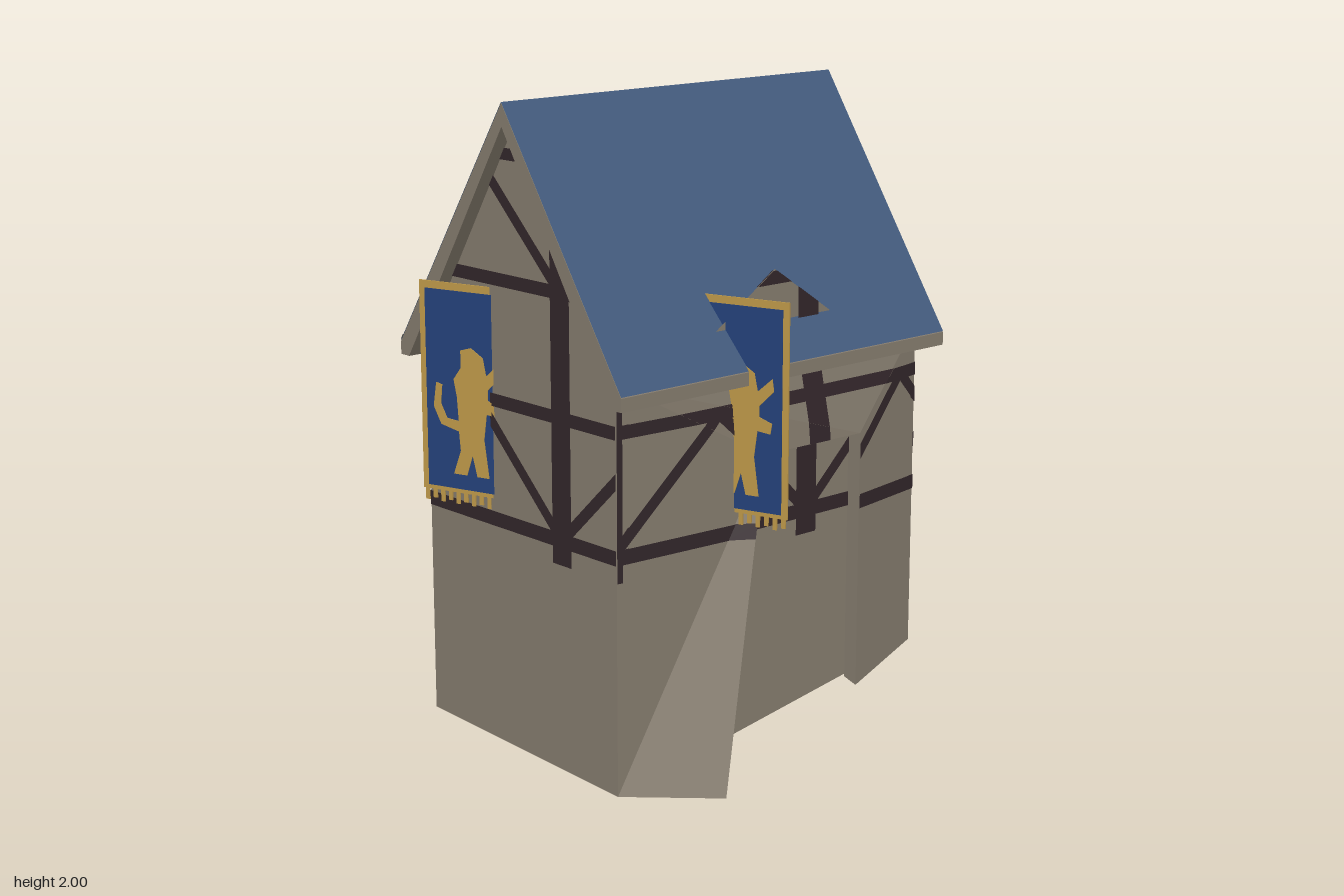
import * as THREE from 'three';

const material = (name, color) =>
  new THREE.MeshStandardMaterial({ name, color, side: THREE.DoubleSide });

export function createModel() {
  const model = new THREE.Group();
  model.name = 'timberHouse';
  const plaster = material('plaster', 0x857c6e);
  const timber = material('dark timber', 0x32262a);
  const slate = material('blue slate', 0x435b7d);
  const cloth = material('banner blue', 0x24417a);
  const gold = material('gold', 0xbd9848);

  // House frame: u across, v along the ridge, turned about y
  const TURN = -0.31, c = Math.cos(TURN), s = Math.sin(TURN);
  const at = (u, y, v) => new THREE.Vector3(u * c + v * s, y, -u * s + v * c);
  const U = 0.435, V = 0.615;

  function add(name, geometry, mat, parent = model) {
    const mesh = new THREE.Mesh(geometry, mat);
    mesh.name = name;
    parent.add(mesh);
    return mesh;
  }
  // Flat convex polygons as one mesh
  function polygons(name, list, mat) {
    const pos = [];
    for (const p of list)
      for (let i = 1; i < p.length - 1; i++)
        for (const q of [p[0], p[i], p[i + 1]]) pos.push(q.x, q.y, q.z);
    if (!pos.length) return;
    const g = new THREE.BufferGeometry();
    g.setAttribute('position', new THREE.Float32BufferAttribute(pos, 3));
    g.computeVertexNormals();
    add(name, g, mat);
  }

  // Clip one 2D convex polygon by another
  function clip(subject, window) {
    let area = 0;
    window.forEach((p, i) => {
      const q = window[(i + 1) % window.length];
      area += p[0] * q[1] - q[0] * p[1];
    });
    let out = subject;
    window.forEach((a, i) => {
      const b = window[(i + 1) % window.length], src = out;
      const side = p => Math.sign(area) *
        ((b[0] - a[0]) * (p[1] - a[1]) - (b[1] - a[1]) * (p[0] - a[0]));
      out = [];
      src.forEach((p, j) => {
        const q = src[(j + 1) % src.length], dp = side(p), dq = side(q);
        if (dp >= 0) out.push(p);
        if (dp * dq < 0) {
          const t = dp / (dp - dq);
          out.push([p[0] + (q[0] - p[0]) * t, p[1] + (q[1] - p[1]) * t]);
        }
      });
    });
    return out;
  }

  // Straight bar as a 2D quad
  function bar(x1, y1, x2, y2, w) {
    const l = Math.hypot(x2 - x1, y2 - y1);
    const nx = -(y2 - y1) / l * w / 2, ny = (x2 - x1) / l * w / 2;
    return [[x1 + nx, y1 + ny], [x2 + nx, y2 + ny], [x2 - nx, y2 - ny], [x1 - nx, y1 - ny]];
  }

  // Timber pattern: beams, posts and braces
  const pattern = [bar(0, 0.67, 0, 1.72, 0.08)];
  for (const [y, w] of [[0.745, 0.045], [1.11, 0.04], [1.475, 0.04], [1.845, 0.035]])
    pattern.push(bar(-1, y, 1, y, w));
  for (const k of [-1, 1]) {
    pattern.push(
      bar(k * 0.74, 0.67, k * 0.74, 1.72, 0.08),
      bar(0, 0.745, k * 0.37, 1.11, 0.035), bar(k * 0.37, 1.11, k * 0.74, 0.745, 0.035),
      bar(0, 1.475, k * 0.37, 1.845, 0.035));
  }

  // Plaster panel with timbers laid on both faces, patterned across axes a and b
  function panel(name, pts, a, b, bars = pattern) {
    polygons(name, [pts], plaster);
    const n = new THREE.Vector3().subVectors(pts[1], pts[0])
      .cross(new THREE.Vector3().subVectors(pts[2], pts[0])).normalize();
    const m = ['x', 'y', 'z'].find(k => k !== a && k !== b);
    const window = pts.map(p => [p[a], p[b]]);
    const pieces = [];
    for (const shape of bars) {
      const flat = clip(shape, window);
      if (flat.length < 3) continue;
      for (const off of [-0.003, 0.003])
        pieces.push(flat.map(([h, k]) => {
          const p = new THREE.Vector3();
          p[a] = h;
          p[b] = k;
          p[m] = pts[0][m] - (n[a] * (h - pts[0][a]) + n[b] * (k - pts[0][b])) / n[m];
          return p.addScaledVector(n, off);
        }));
    }
    polygons(name + 'Timbers', pieces, timber);
  }

  // Walls, with feet following sloping ground
  const EAVE = 1.25;
  const foot = { fl: 0.06, fr: 0.025, br: 0.22, bl: 0.28 };
  panel('frontWall', [at(-U, foot.fl, V), at(U, foot.fr, V), at(U, EAVE, V),
    at(0, 1.94, V), at(-U, EAVE, V)], 'x', 'y');
  panel('backWall', [at(U, foot.br, -V), at(-U, foot.bl, -V), at(-U, EAVE, -V),
    at(0, 1.94, -V), at(U, EAVE, -V)], 'x', 'y');
  panel('leftSideWall', [at(-U, foot.bl, -V), at(-U, foot.fl, V), at(-U, EAVE, V),
    at(-U, EAVE, -V)], 'z', 'y');
  panel('recessWall', [at(U, foot.fr, V), at(U, foot.br, -V), at(U, EAVE, -V),
    at(U, EAVE, V)], 'z', 'y');
  panel('sideGablePeak', [at(U, EAVE, 0.38), at(U, EAVE, -0.38), at(U, 1.5, 0)], 'z', 'y');

  // Bulging skin around the side recess, flared out at its front foot
  const frontFoot = at(U, foot.fr, V), frontTop = at(U, EAVE, V);
  const backFoot = at(U, foot.br, -V), backTop = at(U, EAVE, -V);
  const flareTop = at(0.473, 0.96, 0.069), flareFoot = at(0.611, 0, 0.35);
  const jambTop = at(0.484, 0.96, -0.323), jambFoot = at(0.484, 0.15, -0.323);
  [
    [frontFoot, flareFoot, flareTop], [frontFoot, flareTop, frontTop],
    [frontTop, flareTop, jambTop], [frontTop, jambTop, backTop],
    [jambTop, jambFoot, backFoot], [jambTop, backFoot, backTop],
  ].forEach((tri, i) => panel('outerSkin' + (i + 1), tri, 'z', 'y'));
  const innerTop = at(U, 0.96, 0.04), innerFoot = at(U, 0.04, 0.417);
  const jambInTop = at(U, 0.96, -0.323), jambInFoot = at(U, 0.165, -0.323);
  polygons('recessReveals', [
    [flareTop, flareFoot, innerFoot], [flareTop, innerFoot, innerTop],
    [jambFoot, jambTop, jambInTop, jambInFoot], [flareTop, innerTop, jambInTop, jambTop],
  ], plaster);

  // Roof: plaster-coloured chevron core with slate faces
  const RU = 0.51, RV = 0.66, RY = 1.23;
  const core = new THREE.ExtrudeGeometry(new THREE.Shape([
    [-RU, RY], [-RU, 1.19], [-0.47, 1.19], [0, 1.93], [0.47, 1.19], [RU, 1.19], [RU, RY], [0, 1.997],
  ].map(p => new THREE.Vector2(...p))), { depth: 2 * RV, bevelEnabled: false });
  core.translate(0, 0, -RV);
  add('roofCore', core, plaster).rotation.y = TURN;
  for (const k of [-1, 1])
    polygons(k < 0 ? 'leftSlates' : 'rightSlates', [[at(k * RU, RY + 0.003, RV * k),
      at(k * RU, RY + 0.003, -RV * k), at(0, 2, -RV * k), at(0, 2, RV * k)]], slate);

  // Bare patch along the lower roof slope
  const onRoof = (u, v) => at(u, 2.008 - Math.abs(u) / RU * (2 - RY), v);
  panel('barePatch', [onRoof(-RU, -RV), onRoof(-RU, RV), onRoof(-0.5, RV),
    onRoof(-0.267, -RV)], 'x', 'z', [
    bar(-1, -0.74, 1, -0.74, 0.09), bar(-1, 0, 1, 0, 0.085),
    bar(-0.1, -0.7, -0.26, -0.34, 0.05),
  ]);

  // Hanging banners with a rearing beast
  const beast = new THREE.Shape([
    [-4, 26], [3, 28], [11, 23], [13, 13], [22, 21], [23, 14], [14, 5], [14, -1], [22, -4],
    [21, -10], [13, -9], [11, -24], [14, -46], [6, -46], [3, -34], [-1, -46], [-10, -46],
    [-5, -32], [-6, -21], [-18, -18], [-23, -8], [-21, 6], [-17, 5], [-18, -6], [-14, -14],
    [-6, -15], [-7, -1], [-9, 9], [-4, 16],
  ].map(([x, y]) => new THREE.Vector2(x * 0.0053, y * 0.0053)));
  function banner(name, x, z) {
    const g = new THREE.Group();
    g.name = name;
    g.position.set(x, 1.1075, z);
    add('border', new THREE.BoxGeometry(0.335, 0.64, 0.005), gold, g).position.y = 0.0175;
    add('cloth', new THREE.BoxGeometry(0.295, 0.605, 0.008), cloth, g).position.y = 0.0125;
    const figure = new THREE.ExtrudeGeometry(beast, { depth: 0.012, bevelEnabled: false });
    add('beast', figure, gold, g).position.z = -0.006;
    for (let i = 0; i < 12; i++)
      add('fringe', new THREE.BoxGeometry(0.014, 0.04, 0.004), gold, g)
        .position.set(-0.154 + i * 0.028, -0.318 + (i % 2) * 0.008, 0);
    model.add(g);
  }
  banner('frontBanner', -0.3925, 0.545);
  banner('sideBanner', 0.3925, 0.315);

  return model;
}
